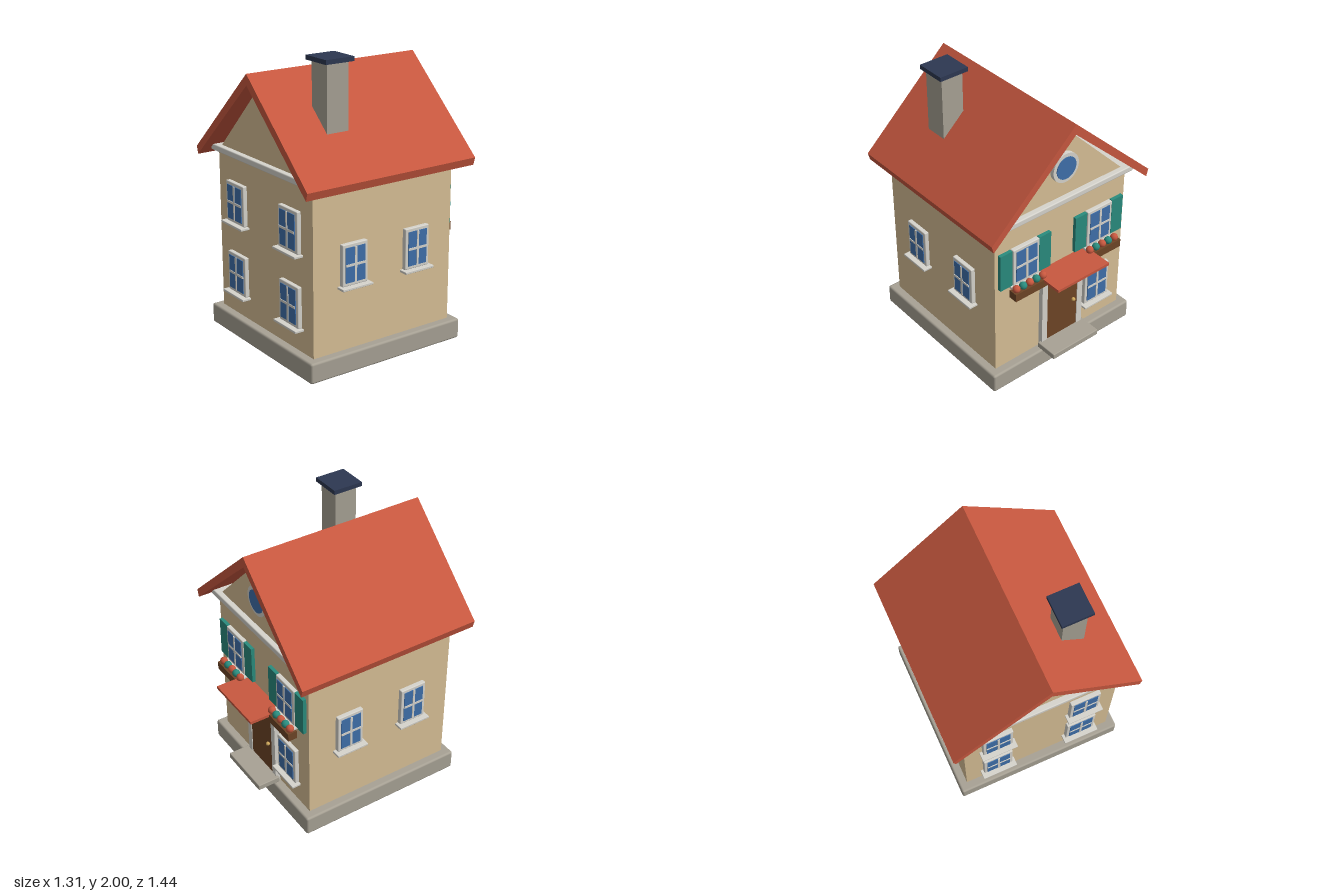
import * as THREE from 'three';
import { RoundedBoxGeometry } from 'three/addons/geometries/RoundedBoxGeometry.js';

const mat = (name, color) => {
  const m = new THREE.MeshStandardMaterial({ color });
  m.name = name;
  return m;
};
const M = {
  wall: mat('sand plaster', 0xd8c096),
  stone: mat('grey stone', 0xa8a295),
  roof: mat('red tile', 0xc8583f),
  trim: mat('off-white trim', 0xd6d4cd),
  glass: mat('blue glass', 0x3f70ab),
  teal: mat('teal paint', 0x2a8c7e),
  wood: mat('brown wood', 0x6e4526),
  cap: mat('navy metal', 0x2d3852),
  brass: mat('brass', 0xd0a85c),
};

const HALF = 0.551;       // half width of the square house body
const CENTRE_Z = 0.062;

function add(parent, name, geometry, material, x = 0, y = 0, z = 0) {
  const mesh = new THREE.Mesh(geometry, material);
  mesh.name = name;
  mesh.position.set(x, y, z);
  parent.add(mesh);
  return mesh;
}

// Box given by its centre x, bottom y, back z and size; r rounds the edges
function box(parent, name, material, w, h, d, x, y, z, r = 0) {
  const g = r ? new RoundedBoxGeometry(w, h, d, 2, r) : new THREE.BoxGeometry(w, h, d);
  return add(parent, name, g, material, x, y + h / 2, z + d / 2);
}

function extrude(points, depth) {
  const shape = new THREE.Shape(points.map(([x, y]) => new THREE.Vector2(x, y)));
  const g = new THREE.ExtrudeGeometry(shape, { depth, bevelEnabled: false });
  return g.translate(0, 0, -depth / 2);
}

// Group whose z = 0 plane lies on one outer wall, with +z pointing outwards
function facade(parent, name, angle) {
  const g = new THREE.Group();
  g.name = name;
  g.rotation.y = angle;
  g.position.set(Math.sin(angle) * HALF, 0, Math.cos(angle) * HALF);
  parent.add(g);
  return g;
}

// Four-pane window with frame, glass, glazing bars and sill
function windowUnit(parent, x, y, w = 0.215, h = 0.28) {
  const g = new THREE.Group();
  g.name = 'window';
  g.position.set(x, y, 0);
  parent.add(g);
  const gw = w - 0.045, gh = h - 0.045;
  box(g, 'windowFrame', M.trim, w, h, 0.035, 0, 0, -0.005, 0.006);
  box(g, 'windowGlass', M.glass, gw, gh, 0.008, 0, 0.0225, 0.027);
  box(g, 'verticalBar', M.trim, 0.016, gh, 0.008, 0, 0.0225, 0.031);
  box(g, 'horizontalBar', M.trim, gw, 0.016, 0.008, 0, h / 2 - 0.008, 0.031);
  box(g, 'windowSill', M.trim, w + 0.04, 0.016, 0.07, 0, -0.016, -0.005, 0.003);
}

// Planter with a row of round flowers
function flowerBox(parent, x) {
  const g = new THREE.Group();
  g.name = 'flowerBox';
  g.position.set(x, 0.73, 0.03);
  parent.add(g);
  box(g, 'planter', M.wood, 0.28, 0.058, 0.065, 0, 0, 0);
  for (let i = 0; i < 5; i++) {
    const flower = new THREE.SphereGeometry(0.027, 14, 10);
    add(g, 'flower', flower, i % 2 ? M.teal : M.roof, (i - 2) * 0.055, 0.073, 0.033);
  }
}

export function createModel() {
  const model = new THREE.Group();
  model.name = 'house';
  const house = new THREE.Group();
  house.name = 'houseBody';
  house.position.z = CENTRE_Z;
  model.add(house);

  // Plinth, walls with gables, cornice
  box(house, 'plinth', M.stone, 1.22, 0.14, 1.22, 0, 0, -0.61, 0.015);
  add(house, 'walls', extrude(
    [[-HALF, 0.13], [HALF, 0.13], [HALF, 1.26], [0, 1.811], [-HALF, 1.26]], HALF * 2), M.wall);
  box(house, 'cornice', M.trim, 1.18, 0.042, 1.18, 0, 1.26, -0.59, 0.008);

  // Pitched roof
  add(house, 'roof', extrude(
    [[0, 1.885], [-0.657, 1.28], [-0.642, 1.227], [0, 1.811], [0.642, 1.227], [0.657, 1.28]], 1.322), M.roof);

  // Chimney
  box(house, 'chimney', M.stone, 0.162, 0.62, 0.162, 0.305, 1.36, 0.163);
  box(house, 'chimneyCap', M.cap, 0.214, 0.03, 0.214, 0.305, 1.97, 0.137);

  // Front windows
  const front = facade(house, 'frontWall', 0);
  for (const x of [-0.315, 0.315]) for (const y of [0.305, 0.805]) windowUnit(front, x, y);

  // Side windows
  for (const side of [-1, 1]) {
    const wall = facade(house, side > 0 ? 'leftWall' : 'rightWall', side * Math.PI / 2);
    for (const x of [-0.25, 0.25]) windowUnit(wall, x, 0.585, 0.195);
  }

  // Back: shuttered windows with flower boxes
  const back = facade(house, 'backWall', Math.PI);
  for (const x of [-0.315, 0.315]) {
    windowUnit(back, x, 0.805);
    for (const s of [-1, 1]) box(back, 'shutter', M.teal, 0.098, 0.275, 0.025, x + s * 0.16, 0.808, 0);
    flowerBox(back, x);
  }
  windowUnit(back, 0.315, 0.305);

  // Door with surround, knob, step and canopy
  for (const s of [-1, 1]) box(back, 'doorJamb', M.trim, 0.045, 0.585, 0.035, s * 0.155, 0.14, 0);
  box(back, 'doorLintel', M.trim, 0.355, 0.045, 0.035, 0, 0.68, 0);
  box(back, 'door', M.wood, 0.27, 0.545, 0.03, 0, 0.14, 0);
  add(back, 'doorKnob', new THREE.SphereGeometry(0.014, 14, 10), M.brass, 0.095, 0.42, 0.04);
  box(back, 'doorStep', M.stone, 0.4, 0.042, 0.165, 0, 0.143, 0.018, 0.006);
  box(back, 'doorCanopy', M.roof, 0.442, 0.02, 0.233, 0, 0.77, 0);

  // Round gable window
  const ring = add(back, 'roundWindowFrame', new THREE.CylinderGeometry(0.105, 0.105, 0.035, 32), M.trim, 0, 1.53, 0.014);
  ring.rotation.x = Math.PI / 2;
  const pane = add(back, 'roundWindowGlass', new THREE.CylinderGeometry(0.08, 0.08, 0.008, 32), M.glass, 0, 1.53, 0.032);
  pane.rotation.x = Math.PI / 2;

  return model;
}
